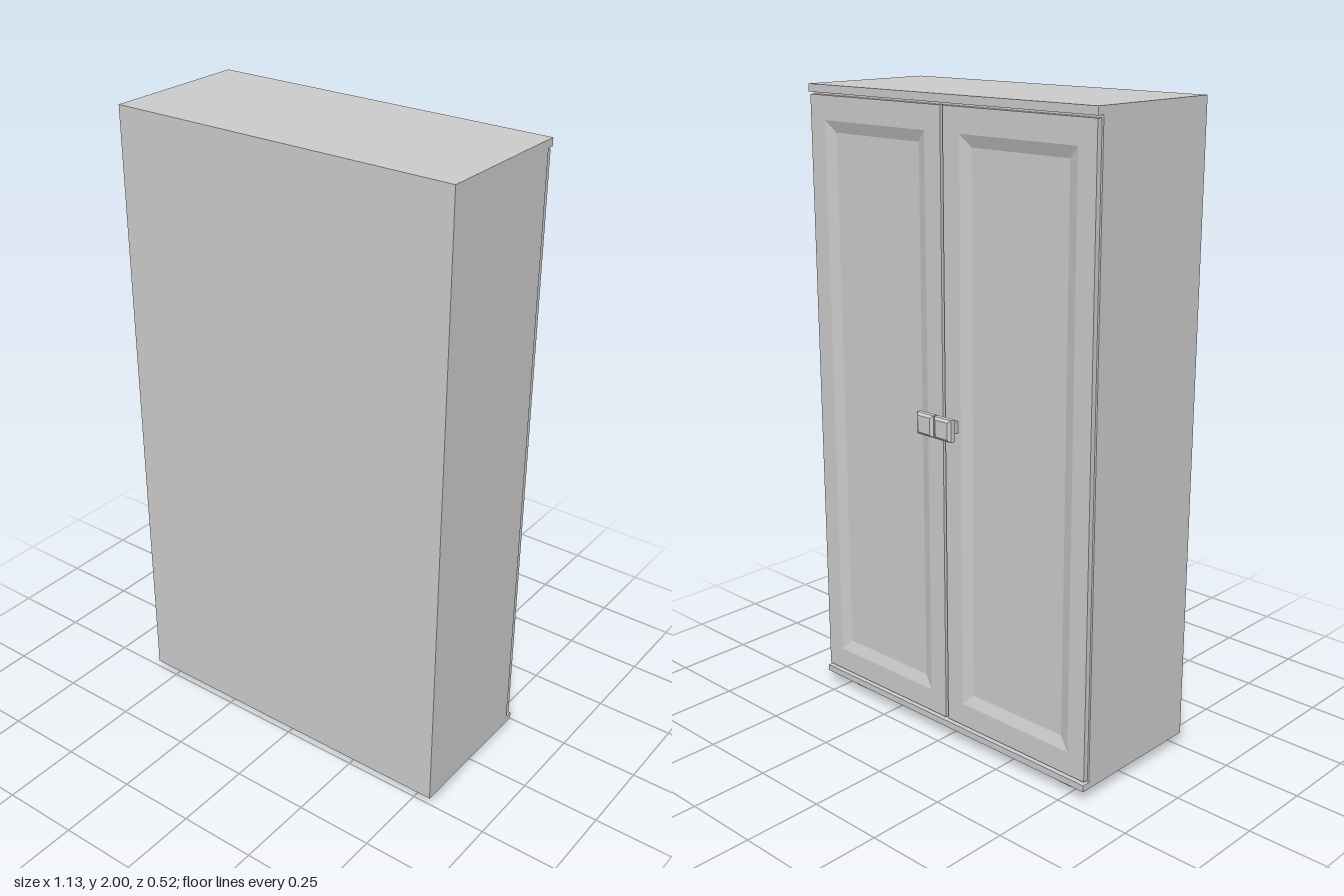
import * as THREE from 'three';

const material = new THREE.MeshStandardMaterial({ color: 0xcccccc, flatShading: true });

function addMesh(parent, name, geometry, x, y, z) {
  const mesh = new THREE.Mesh(geometry, material);
  mesh.name = name;
  mesh.position.set(x, y, z);
  parent.add(mesh);
  return mesh;
}

// Box given by its lower and upper corners
function addBox(parent, name, [x0, y0, z0], [x1, y1, z1]) {
  return addMesh(parent, name, new THREE.BoxGeometry(x1 - x0, y1 - y0, z1 - z0),
    (x0 + x1) / 2, (y0 + y1) / 2, (z0 + z1) / 2);
}

// Capped solid through rectangles [halfWidth, halfHeight, depth], running towards -z
function rectLoft(sections) {
  const loops = sections.map(([w, h, d]) => [[-w, -h, d], [w, -h, d], [w, h, d], [-w, h, d]]);
  const points = [];
  const quad = (a, b, c, d) => points.push(...a, ...b, ...c, ...a, ...c, ...d);
  for (let i = 0; i < loops.length - 1; i++) {
    const a = loops[i], b = loops[i + 1];
    for (let k = 0; k < 4; k++) {
      const n = (k + 1) % 4;
      quad(a[k], a[n], b[n], b[k]);
    }
  }
  const first = loops[0], last = loops[loops.length - 1];
  quad(first[3], first[2], first[1], first[0]);
  quad(...last);
  const geometry = new THREE.BufferGeometry();
  geometry.setAttribute('position', new THREE.Float32BufferAttribute(points, 3));
  geometry.rotateY(Math.PI);
  geometry.computeVertexNormals();
  return geometry;
}

export function createModel() {
  const model = new THREE.Group();
  model.name = 'cabinet';

  // Carcass with thin ledges above and below the doors
  addBox(model, 'carcass', [-0.565, 0.037, -0.188], [0.565, 2, 0.262]);
  addBox(model, 'topLedge', [-0.565, 1.976, -0.21], [0.565, 2, -0.188]);
  addBox(model, 'bottomLedge', [-0.565, 0.037, -0.214], [0.565, 0.058, -0.188]);

  // Door: flat frame, sloping border, recessed panel
  const w = 0.278, h = 0.952;
  const doorGeometry = rectLoft([
    [w, h, 0], [w, h, 0.017],
    [w - 0.064, h - 0.074, 0.017],
    [w - 0.1, h - 0.11, 0.004],
  ]);

  // Square knob with bevelled edges on a square stem
  const knobGeometry = rectLoft([
    [0.016, 0.018, 0], [0.016, 0.018, 0.028],
    [0.024, 0.025, 0.028], [0.034, 0.034, 0.035],
    [0.034, 0.034, 0.05], [0.025, 0.026, 0.057],
  ]);

  for (const side of [-1, 1]) {
    const label = side > 0 ? 'left' : 'right';
    addMesh(model, label + 'Door', doorGeometry, side * 0.283, 1.017, -0.19);
    addMesh(model, label + 'Knob', knobGeometry, side * 0.036 - 0.006, 1.043, -0.206);
    // Small feet
    for (const [end, z] of [['Front', 0.184], ['Back', -0.157]]) {
      const x = side * 0.453 - 0.005;
      addBox(model, label + end + 'Foot', [x - 0.023, 0, z - 0.012], [x + 0.023, 0.04, z + 0.012]);
    }
  }
  return model;
}
